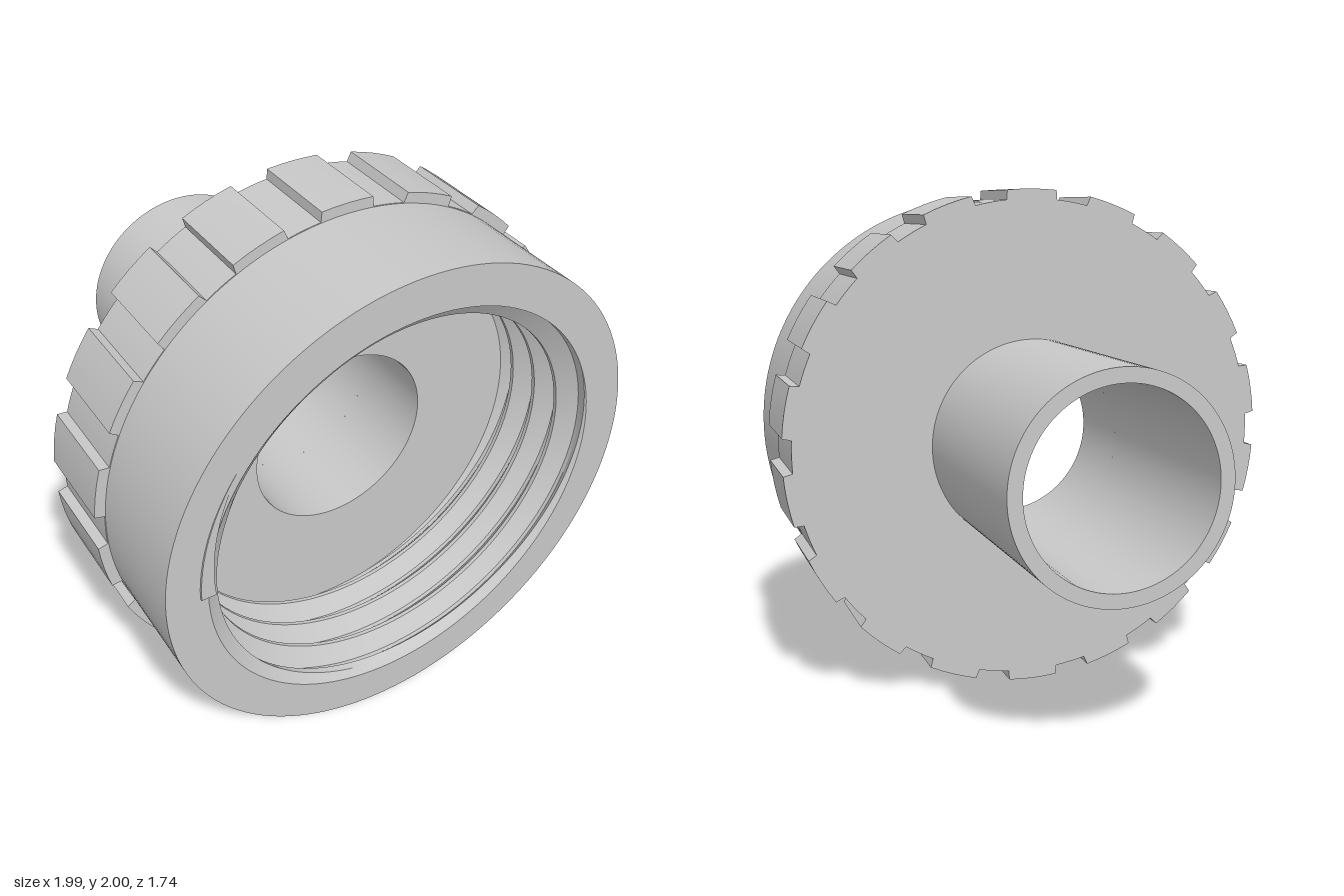
import * as THREE from 'three';
import { toCreasedNormals } from 'three/addons/utils/BufferGeometryUtils.js';

const BACK = -0.87, PLATE = 0.06, FLOOR = 0.41, FRONT = 0.86;
const BORE = 0.36, ROOT = 0.805, CREST = 0.74, PITCH = 0.125;
const TAU = Math.PI * 2;

// Profile of [radius, z] points turned about the z axis
function turned(profile) {
  const geo = new THREE.LatheGeometry(profile.map(p => new THREE.Vector2(...p)), 128);
  geo.rotateX(Math.PI / 2);
  return toCreasedNormals(geo, 0.5);
}

// Disc with 18 raised grip pads and a central hole
function gripDisc() {
  const points = [];
  const deg = Math.PI / 180;
  const arc = (r, from, to) => {
    for (let i = 0; i <= 4; i++) {
      const a = (from + (to - from) * i / 4) * deg;
      points.push(new THREE.Vector2(r * Math.cos(a), r * Math.sin(a)));
    }
  };
  for (let i = 0; i < 18; i++) {
    const mid = 90 + i * 20;
    arc(1, mid - 5.8, mid + 5.8);
    arc(0.963, mid + 6.2, mid + 13.8);
  }
  const shape = new THREE.Shape(points);
  shape.holes.push(new THREE.Path().absarc(0, 0, BORE, 0, TAU, true));
  const geo = new THREE.ExtrudeGeometry(shape, { depth: FLOOR - PLATE, bevelEnabled: false, curveSegments: 96 });
  geo.translate(0, 0, PLATE);
  return toCreasedNormals(geo, 0.3);
}

// Radius of the threaded wall, with a conical lead-in at the mouth
function threadRadius(angle, z) {
  const t = (z - 0.82) / PITCH - (angle - Math.PI) / TAU;
  const fromCrest = Math.abs(t - Math.round(t)) * 2;
  const v = THREE.MathUtils.clamp((fromCrest - 0.12) / 0.76, 0, 1);
  return Math.max(CREST + (ROOT - CREST) * v, ROOT - (FRONT - z) * 1.2);
}

// Helical rows follow the crests and roots, clipped to the cavity
function threadWall() {
  const steps = 128, rows = [], position = [];
  for (let k = -6; k <= 2; k++) {
    for (const f of [-0.44, -0.25, -0.06, 0.06, 0.25, 0.44]) rows.push(0.82 + (k + f) * PITCH);
  }
  const point = (i, j) => {
    const a = i / steps * TAU;
    const z = THREE.MathUtils.clamp(rows[j] + (a - Math.PI) / TAU * PITCH, FLOOR, FRONT);
    const r = threadRadius(a, z);
    return [r * Math.cos(a), r * Math.sin(a), z];
  };
  for (let i = 0; i < steps; i++) {
    for (let j = 0; j < rows.length - 1; j++) {
      const a = point(i, j), b = point(i + 1, j), c = point(i + 1, j + 1), d = point(i, j + 1);
      if (c[2] > b[2]) position.push(...a, ...c, ...b);
      if (d[2] > a[2]) position.push(...a, ...d, ...c);
    }
  }
  const geo = new THREE.BufferGeometry();
  geo.setAttribute('position', new THREE.Float32BufferAttribute(position, 3));
  return toCreasedNormals(geo, 0.5);
}

// Sliver where the thread runs out through the rim
function threadRunout() {
  const outer = [], inner = [];
  for (let i = 0; i <= 12; i++) {
    const t = i / 12, a = Math.PI - t * 0.6, r = 0.78 + 0.05 * t;
    outer.push(new THREE.Vector2(0.835 * Math.cos(a), 0.835 * Math.sin(a)));
    inner.unshift(new THREE.Vector2(r * Math.cos(a), r * Math.sin(a)));
  }
  const geo = new THREE.ExtrudeGeometry(new THREE.Shape([...outer, ...inner]), { depth: 0.009, bevelEnabled: false });
  // Taper the height to nothing along the arc
  const p = geo.attributes.position;
  for (let i = 0; i < p.count; i++) {
    const t = (Math.PI - Math.abs(Math.atan2(p.getY(i), p.getX(i)))) / 0.6;
    p.setZ(i, FRONT + (p.getZ(i) > 0 ? 0.001 + 0.009 * (1 - t) : -0.002));
  }
  geo.computeVertexNormals();
  return geo;
}

export function createModel() {
  const grey = new THREE.MeshStandardMaterial({ color: 0xc8c8c8 });
  grey.name = 'light grey';
  const model = new THREE.Group();
  model.name = 'threadedHoseConnector';
  const add = (name, geo) => {
    const mesh = new THREE.Mesh(geo, grey);
    mesh.name = name;
    mesh.position.y = 1;
    model.add(mesh);
  };

  add('collar', turned([[0.96, FLOOR], [0.96, FRONT], [ROOT, FRONT]]));
  add('gripRing', gripDisc());
  add('hosePipe', turned([[BORE, PLATE], [BORE, BACK], [0.415, BACK], [0.415, PLATE]]));
  add('internalThread', threadWall());
  add('threadRunout', threadRunout());
  return model;
}
